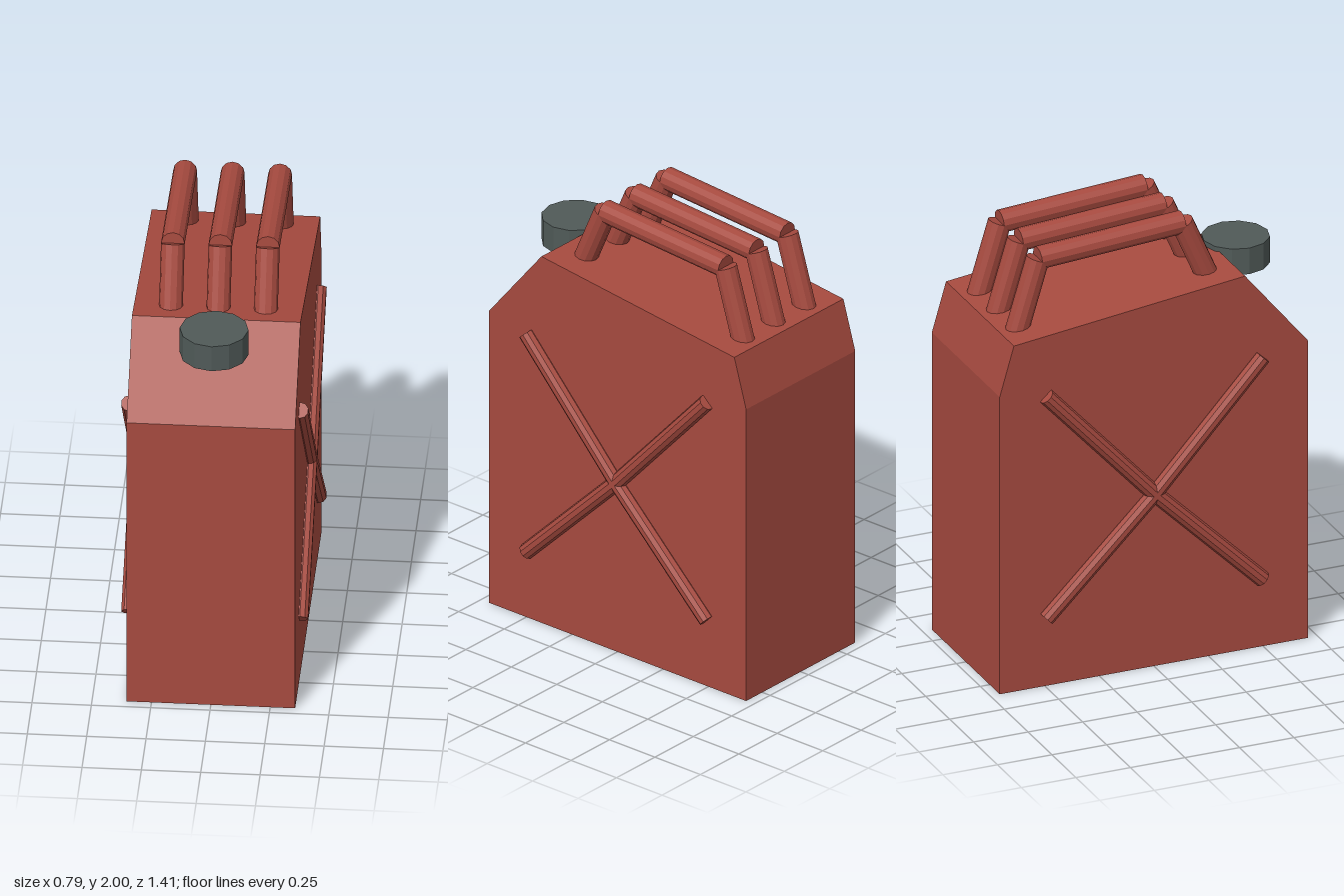
import * as THREE from 'three';

const red = new THREE.MeshStandardMaterial({ name: 'red paint', color: 0xa64a3f, flatShading: true });
const grey = new THREE.MeshStandardMaterial({ name: 'dark grey', color: 0x505a58, flatShading: true });

// Straight round bar between two points
function bar(name, a, b, radius, sides) {
  const from = new THREE.Vector3(...a);
  const to = new THREE.Vector3(...b);
  const dir = to.clone().sub(from);
  const mesh = new THREE.Mesh(new THREE.CylinderGeometry(radius, radius, dir.length(), sides), red);
  mesh.position.copy(from).add(to).multiplyScalar(0.5);
  mesh.quaternion.setFromUnitVectors(new THREE.Vector3(0, 1, 0), dir.normalize());
  mesh.name = name;
  return mesh;
}

export function createModel() {
  const model = new THREE.Group();
  model.name = 'fuelCan';

  // Body: side profile (z, y) extruded across the width
  const halfWidth = 0.355;
  const profile = [[0.707, 0], [0.707, 1.373], [0.418, 1.725], [-0.642, 1.597], [-0.707, 1.373], [-0.707, 0]];
  const shape = new THREE.Shape(profile.map(([z, y]) => new THREE.Vector2(z, y)));
  const bodyGeometry = new THREE.ExtrudeGeometry(shape, { depth: halfWidth * 2, bevelEnabled: false });
  bodyGeometry.translate(0, 0, -halfWidth).rotateY(-Math.PI / 2);
  const body = new THREE.Mesh(bodyGeometry, red);
  body.name = 'body';
  model.add(body);

  // Cap over the sloped front shoulder
  const cap = new THREE.Mesh(new THREE.CylinderGeometry(0.145, 0.145, 0.12, 12), grey);
  cap.position.set(0, 1.685, 0.53);
  cap.name = 'cap';
  model.add(cap);

  // Three parallel handles, each with two leaning posts and a grip
  for (const x of [-0.2, 0, 0.2]) {
    const handle = new THREE.Group();
    handle.name = 'handle';
    const front = [x, 1.952, 0.195];
    const back = [x, 1.907, -0.464];
    handle.add(
      bar('frontPost', [x, 1.67, 0.318], front, 0.05, 12),
      bar('grip', back, front, 0.05, 12),
      bar('backPost', [x, 1.56, -0.57], back, 0.05, 12),
    );
    model.add(handle);
  }

  // Raised cross of four ribs on each side
  for (const side of [-1, 1]) {
    const cross = new THREE.Group();
    cross.name = side > 0 ? 'leftCross' : 'rightCross';
    const x = side * 0.36;
    for (const z of [-0.496, 0.496]) {
      for (const y of [0.313, 1.34]) {
        cross.add(bar('rib', [x, 0.8, 0], [x, y, z], 0.035, 10));
      }
    }
    model.add(cross);
  }

  return model;
}
